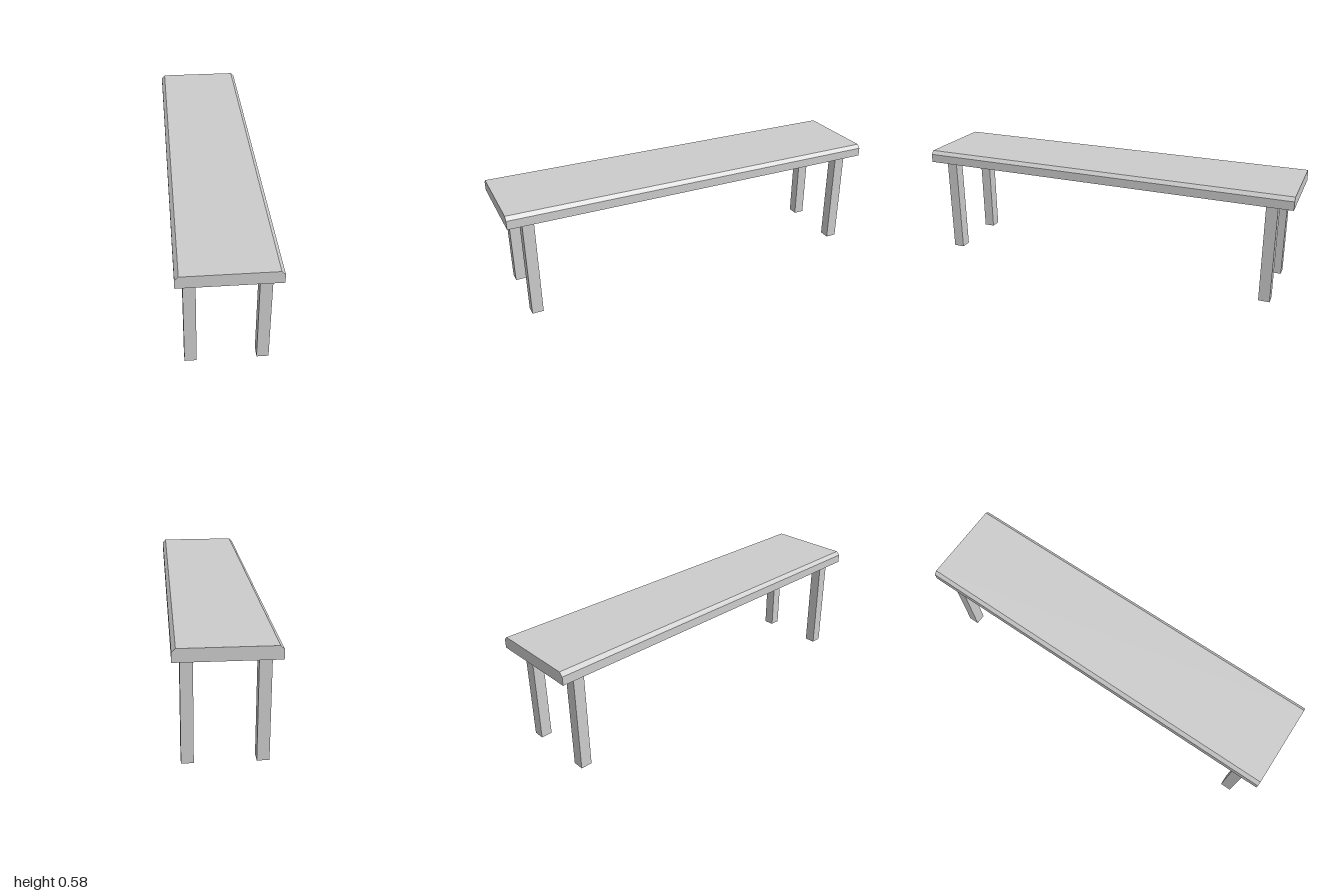
import * as THREE from 'three';

export function createModel() {
  const model = new THREE.Group();
  model.name = 'bench';
  const material = new THREE.MeshStandardMaterial({ color: 0xcccccc, flatShading: true });

  const length = 2, halfWidth = 0.233, top = 0.577, legHeight = 0.515;
  const chamfer = 0.018, legSize = 0.057;

  // Seat plank: profile with chamfered long top edges, extruded along z
  const profile = new THREE.Shape([
    new THREE.Vector2(-halfWidth, legHeight),
    new THREE.Vector2(halfWidth, legHeight),
    new THREE.Vector2(halfWidth, top - chamfer),
    new THREE.Vector2(halfWidth - chamfer, top),
    new THREE.Vector2(-halfWidth + chamfer, top),
    new THREE.Vector2(-halfWidth, top - chamfer),
  ]);
  const seatGeometry = new THREE.ExtrudeGeometry(profile, { depth: length, bevelEnabled: false });
  seatGeometry.translate(0, 0, -length / 2);
  const seat = new THREE.Mesh(seatGeometry, material);
  seat.name = 'seat';
  model.add(seat);

  // Four square legs, mirrored in x and z
  const legGeometry = new THREE.BoxGeometry(legSize, legHeight, legSize);
  for (const [zName, z] of [['front', 1], ['back', -1]]) {
    for (const [xName, x] of [['Left', 1], ['Right', -1]]) {
      const leg = new THREE.Mesh(legGeometry, material);
      leg.name = `${zName}${xName}Leg`;
      leg.position.set(x * 0.169, legHeight / 2, z * 0.895);
      model.add(leg);
    }
  }

  return model;
}
